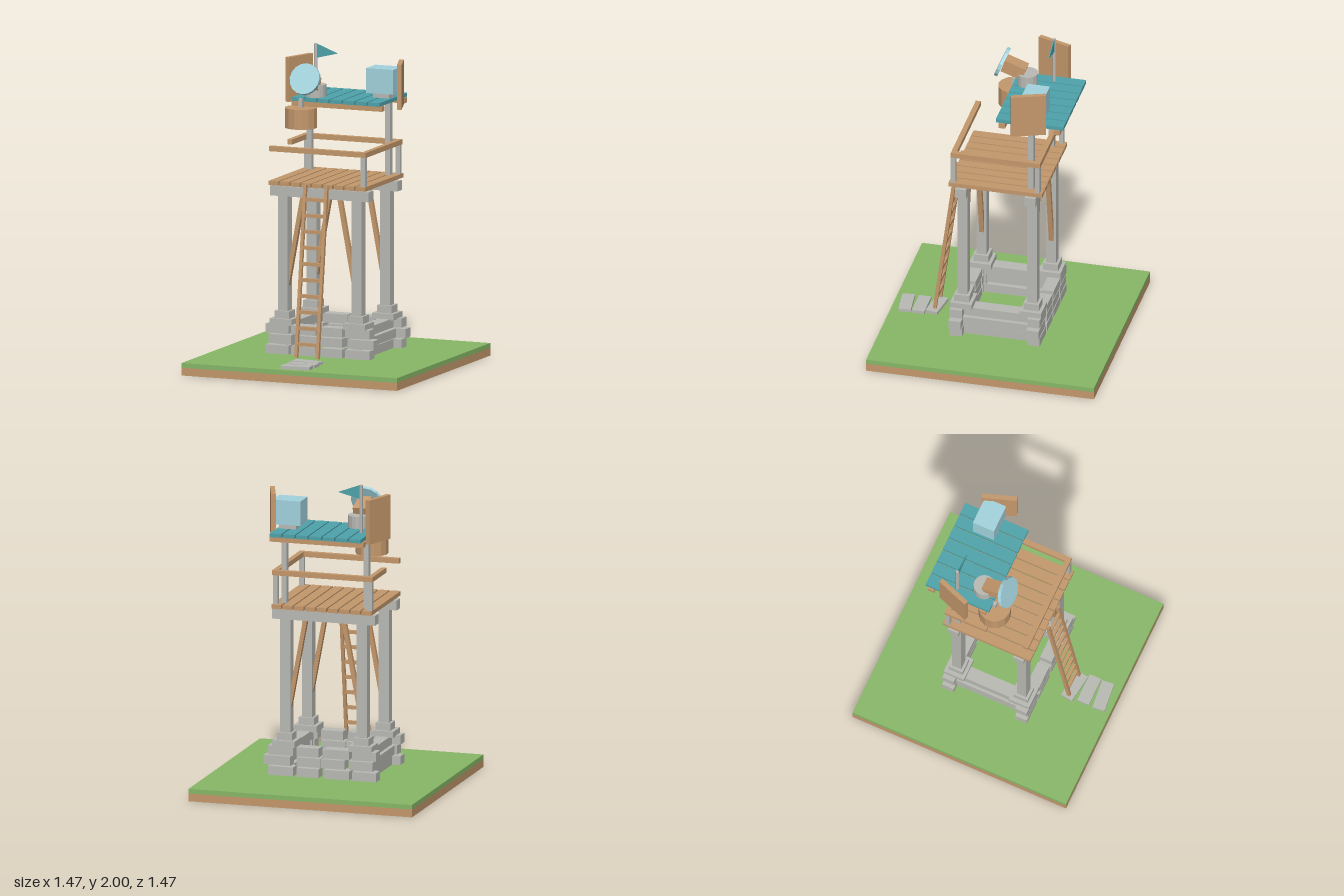
import * as THREE from 'three';

const paint = (name, color) => {
  const m = new THREE.MeshStandardMaterial({ color });
  m.name = name;
  return m;
};

export function createModel() {
  const grass = paint('grass green', 0x88b868);
  const wood = paint('wood brown', 0xc4986c);
  const stone = paint('stone grey', 0xb9bab4);
  const teal = paint('teal', 0x4fa3ab);
  const glass = paint('pale blue', 0xa3d3de);

  const model = new THREE.Group();
  model.name = 'watchtower';

  const add = (name, geometry, material, x, y, z) => {
    const mesh = new THREE.Mesh(geometry, material);
    mesh.name = name;
    mesh.position.set(x, y, z);
    model.add(mesh);
    return mesh;
  };
  // Box given by its extents on each axis
  const block = (name, mat, [x0, x1], [y0, y1], [z0, z1]) =>
    add(name, new THREE.BoxGeometry(x1 - x0, y1 - y0, z1 - z0), mat,
      (x0 + x1) / 2, (y0 + y1) / 2, (z0 + z1) / 2);
  const around = (c, size) => [c - size / 2, c + size / 2];
  // Square bar between two points
  const bar = (name, mat, a, b, w, d) => {
    const p = new THREE.Vector3(...a), q = new THREE.Vector3(...b);
    const mid = p.clone().add(q).multiplyScalar(0.5);
    const mesh = add(name, new THREE.BoxGeometry(w, p.distanceTo(q), d), mat, mid.x, mid.y, mid.z);
    mesh.quaternion.setFromUnitVectors(new THREE.Vector3(0, 1, 0), q.sub(p).normalize());
    return mesh;
  };
  const drum = (name, mat, r, [y0, y1], x, z, sides) => {
    const geo = new THREE.CylinderGeometry(r, r, y1 - y0, sides).toNonIndexed();
    geo.computeVertexNormals();
    return add(name, geo, mat, x, (y0 + y1) / 2, z);
  };

  // Ground slab
  block('earth', wood, [-0.737, 0.737], [0, 0.05], [-0.737, 0.737]);
  block('lawn', grass, [-0.737, 0.737], [0.05, 0.08], [-0.737, 0.737]);

  // Stepping stones
  [[0, 0.46, -0.14], [0.015, 0.555, 0], [0.015, 0.652, 0.1]].forEach(([x, z, turn]) => {
    block('steppingStone', stone, around(x, 0.19), [0.08, 0.1], around(z, 0.08)).rotation.y = turn;
  });

  // Staggered foundation courses
  const outer = [[-0.357, -0.2], [-0.18, -0.013], [0.022, 0.167], [0.19, 0.355]];
  const middle = [[-0.335, -0.18], [-0.15, 0.005], [0.01, 0.167], [0.21, 0.385]];
  [[0.1, 0.157, outer], [0.167, 0.225, middle], [0.232, 0.29, outer]].forEach(([y0, y1, row], i) => {
    for (const s of [-1, 1]) {
      row.forEach((xs) => block('foundationStone', stone, xs, [y0, y1], around(s * 0.252, 0.08)));
      block('foundationSideStone', stone, around(s * (i === 1 ? 0.275 : 0.26), 0.085), [y0, y1], [-0.285, 0.285]);
    }
  });

  // Pillars with stepped feet, cross beams and braces
  for (const z of [-0.225, 0.225]) {
    for (const s of [-1, 1]) {
      const x = s * 0.253;
      block('pillar', stone, around(x, 0.068), [0.1, 1.11], around(z, 0.064));
      block('pillarFoot', stone, around(x, 0.15), [0.285, 0.325], around(z, 0.14));
      block('pillarCollar', stone, around(x, 0.1), [0.325, 0.372], around(z, 0.098));
      bar('brace', wood, [s * 0.235, 0.52, z], [s * 0.125, 1.115, z], 0.027, 0.03);
    }
    block('crossBeam', stone, [-0.34, 0.338], [1.102, 1.165], around(z, 0.072));
  }

  // Deck
  for (let i = 0; i < 9; i++) {
    block('deckPlank', wood, around((i - 4) * 0.0745, 0.064), [1.175, 1.202], [-0.302, 0.304]);
  }

  // Railing: the left rail is broken off halfway
  const railY = [1.388, 1.42];
  block('frontRail', wood, [-0.333, 0.33], railY, [0.257, 0.29]);
  block('backRail', wood, [-0.333, 0.33], railY, [-0.288, -0.255]);
  block('rightRail', wood, [0.297, 0.33], railY, [-0.255, 0.257]);
  block('leftRail', wood, [-0.333, -0.3], railY, [-0.255, 0]);
  [[0.311, 0.276], [0.311, -0.27], [-0.315, -0.27]].forEach(([x, z]) => {
    block('railPost', stone, around(x, 0.03), [1.202, 1.388], around(z, 0.03));
  });

  // Ladder
  const ladderZ = (y) => 0.455 - (y - 0.12) * 0.134;
  for (const x of [-0.074, 0.072]) {
    bar('ladderRail', wood, [x, 0.115, ladderZ(0.115)], [x, 1.195, ladderZ(1.195)], 0.02, 0.023);
  }
  for (let i = 0; i < 10; i++) {
    const y = 0.2 + i * 0.1005;
    block('ladderRung', wood, [-0.066, 0.064], around(y, 0.022), around(ladderZ(y), 0.02));
  }

  // Roof with its poles and bearers
  for (const x of [-0.273, 0.267]) {
    block('roofPole', stone, around(x, 0.034), [1.202, 1.668], around(-0.218, 0.036));
  }
  for (const z of [-0.39, -0.035]) {
    block('roofBearer', wood, [-0.312, 0.308], [1.634, 1.668], around(z, 0.042));
  }
  for (let i = 0; i < 7; i++) {
    block('roofPlank', teal, around((i - 3) * 0.087, 0.077), [1.668, 1.692], [-0.432, 0.005]);
  }

  // Angled side shields
  for (const s of [-1, 1]) {
    block('sideShield', wood, around(s * 0.347, 0.03), [1.638, 1.922], around(-0.217, 0.222))
      .rotation.y = s * 0.34;
  }

  // Storage box on a mount
  block('boxMount', stone, around(0.23, 0.11), [1.692, 1.722], around(-0.232, 0.1));
  block('storageBox', glass, [0.137, 0.322], [1.722, 1.88], [-0.305, -0.16]);

  // Searchlight
  drum('lampBase', stone, 0.068, [1.692, 1.77], -0.177, -0.083, 16);
  block('lampBody', wood, around(-0.178, 0.085), around(1.795, 0.085), around(0, 0.145)).rotation.x = -0.34;
  drum('lampGlass', glass, 0.101, [1.814, 1.836], -0.177, 0.08, 16).rotation.x = Math.PI / 2 - 0.4;

  // Hanging barrel
  drum('barrel', wood, 0.103, [1.505, 1.632], -0.233, 0.015, 14);
  block('barrelHanger', stone, around(-0.233, 0.026), [1.625, 1.688], around(0.014, 0.026));

  // Flag
  drum('flagPole', stone, 0.011, [1.69, 2], -0.242, -0.24, 6);
  const pennant = new THREE.Shape([[0, 0], [0.14, 0.035], [0, 0.088]].map((p) => new THREE.Vector2(...p)));
  add('flag', new THREE.ExtrudeGeometry(pennant, { depth: 0.006, bevelEnabled: false }), teal, -0.232, 1.91, -0.243);

  return model;
}
